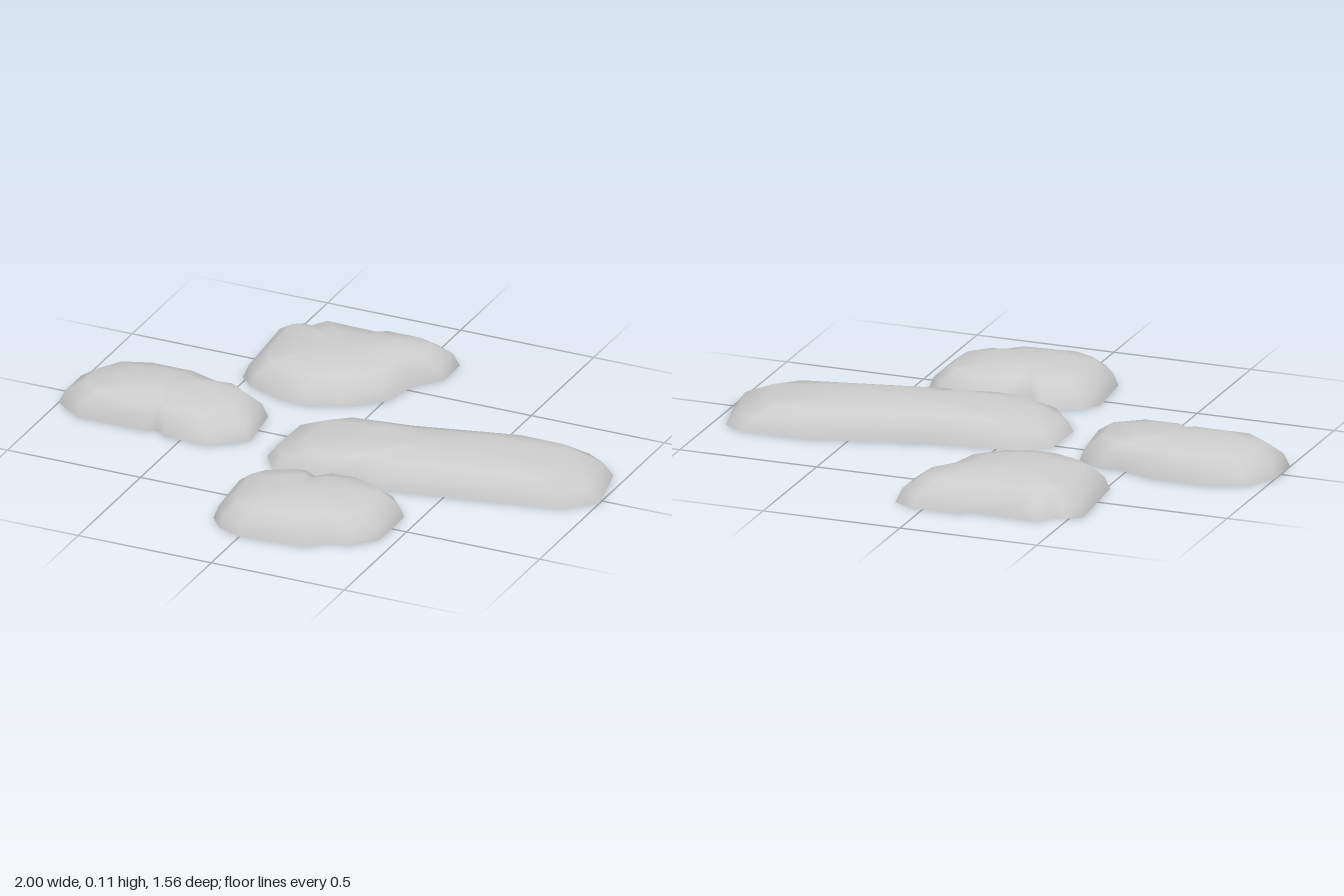
import * as THREE from 'three';

// Footprints as [x, z] points, in order around each stone
const FOOTPRINTS = {
  backStone: [
    [-0.54, -0.67], [-0.49, -0.705], [-0.455, -0.695], [-0.41, -0.767], [-0.345, -0.765], [-0.165, -0.76],
    [-0.125, -0.788], [0.04, -0.788], [0.115, -0.75], [0.115, -0.625], [0.04, -0.53], [0.008, -0.39],
    [-0.105, -0.29], [-0.235, -0.245], [-0.325, -0.248], [-0.46, -0.3], [-0.515, -0.353],
  ],
  rightStone: [
    [-1, -0.048], [-0.933, -0.16], [-0.805, -0.206], [-0.607, -0.206], [-0.468, -0.158], [-0.398, -0.168],
    [-0.307, -0.112], [-0.28, 0.09], [-0.398, 0.179], [-0.559, 0.179], [-0.602, 0.147], [-0.639, 0.167],
    [-0.896, 0.167], [-1, 0.09],
  ],
  longStone: [
    [-0.174, -0.016], [-0.083, -0.09], [0.195, -0.128], [0.66, -0.243], [0.874, -0.243], [0.95, -0.198],
    [1, 0.024], [0.9, 0.118], [0.28, 0.246], [0.136, 0.233], [0.04, 0.281], [-0.115, 0.262], [-0.18, 0.166],
  ],
  frontStone: [
    [-0.163, 0.46], [-0.12, 0.398], [-0.003, 0.332], [0.04, 0.326], [0.099, 0.364], [0.158, 0.308],
    [0.27, 0.297], [0.398, 0.348], [0.444, 0.398], [0.444, 0.6], [0.366, 0.679], [0.291, 0.7],
    [0.238, 0.754], [-0.003, 0.775], [-0.094, 0.738], [-0.142, 0.679],
  ],
};

// Dome profile: [footprint scale, height] of each ring
const RINGS = [[1, 0], [0.94, 0.047], [0.77, 0.088], [0.45, 0.107]];
const TOP = 0.112;

function stoneGeometry(points) {
  const mid = (k) => {
    const v = points.map((p) => p[k]);
    return (Math.min(...v) + Math.max(...v)) / 2;
  };
  const cx = mid(0), cz = mid(1), n = points.length;
  const positions = [], index = [];
  const addRing = (scale, y) => {
    for (const [x, z] of points) positions.push(cx + (x - cx) * scale, y, cz + (z - cz) * scale);
  };

  // Smooth dome
  for (const [scale, y] of RINGS) addRing(scale, y);
  const apex = RINGS.length * n;
  positions.push(cx, TOP, cz);
  for (let r = 0; r < RINGS.length; r++) {
    for (let i = 0; i < n; i++) {
      const j = (i + 1) % n, a = r * n + i, a2 = r * n + j;
      if (r === RINGS.length - 1) index.push(a2, a, apex);
      else index.push(a2, a, a + n, a2, a + n, a2 + n);
    }
  }

  // Flat underside with its own vertices, so the rim stays sharp
  const base = apex + 1;
  addRing(1, 0);
  positions.push(cx, 0, cz);
  for (let i = 0; i < n; i++) index.push(base + i, base + (i + 1) % n, base + n);

  const geometry = new THREE.BufferGeometry();
  geometry.setAttribute('position', new THREE.Float32BufferAttribute(positions, 3));
  geometry.setIndex(index);
  geometry.computeVertexNormals();
  return geometry;
}

export function createModel() {
  const group = new THREE.Group();
  group.name = 'steppingStones';
  const stone = new THREE.MeshStandardMaterial({ color: 0xcccccc });
  stone.name = 'paleGreyStone';
  for (const [name, points] of Object.entries(FOOTPRINTS)) {
    const mesh = new THREE.Mesh(stoneGeometry(points), stone);
    mesh.name = name;
    group.add(mesh);
  }
  return group;
}
